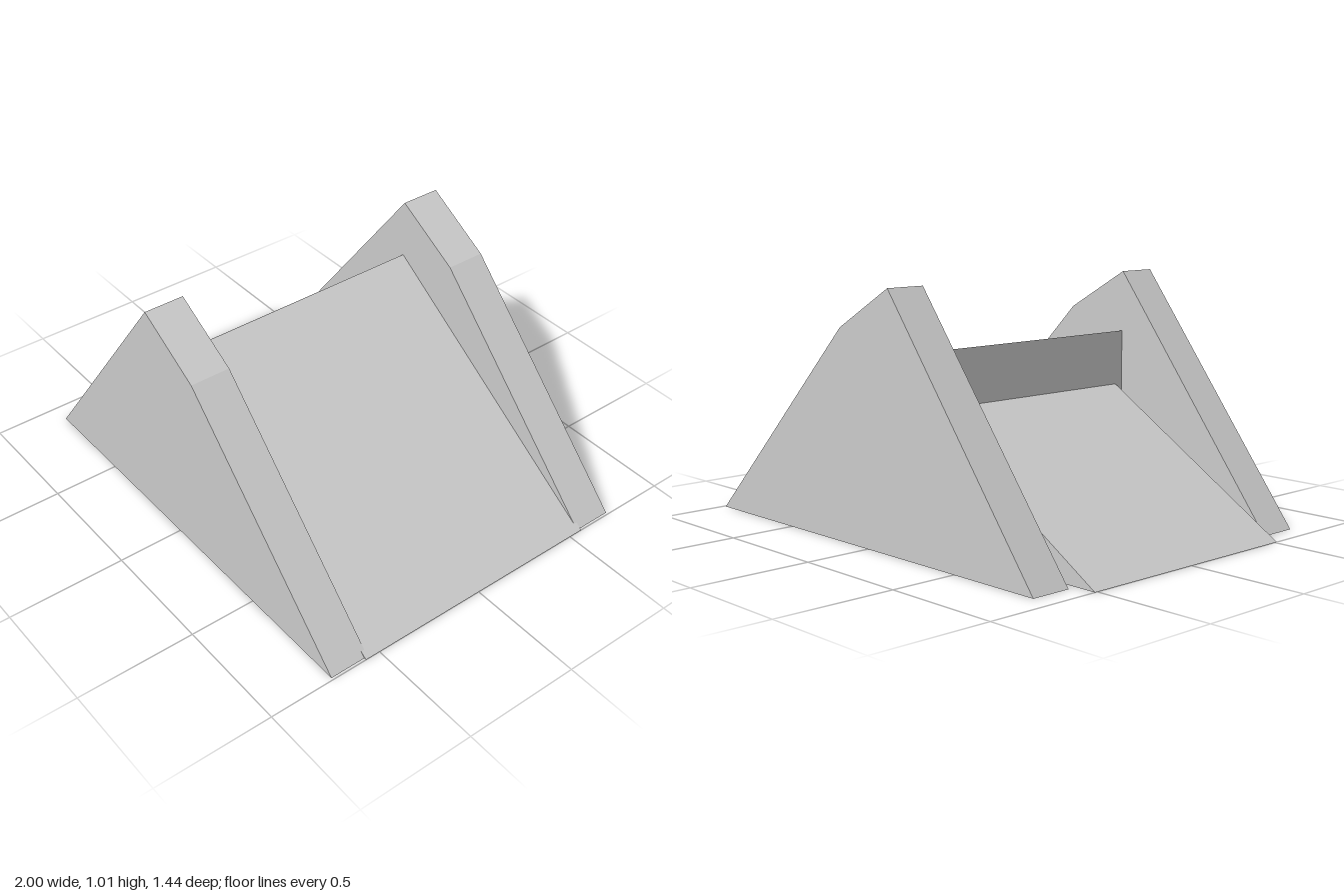
import * as THREE from 'three';

const material = new THREE.MeshStandardMaterial({ color: 0xcccccc, flatShading: true });

// Solid prism: an x/y outline extruded along z from z0 to z1
function prism(name, outline, z0, z1) {
  const shape = new THREE.Shape(outline.map(([x, y]) => new THREE.Vector2(x, y)));
  const geometry = new THREE.ExtrudeGeometry(shape, { depth: z1 - z0, bevelEnabled: false });
  geometry.translate(0, 0, z0);
  const mesh = new THREE.Mesh(geometry, material);
  mesh.name = name;
  return mesh;
}

export function createModel() {
  const group = new THREE.Group();
  group.name = 'rampWithSideWalls';

  // Peaked side walls, one at the front and one at the back
  const wall = [[-0.91, 0], [0.99, 0], [0.155, 0.84], [-0.137, 1.007]];
  group.add(prism('frontWall', wall, 0.55, 0.72));
  group.add(prism('backWall', wall, -0.72, -0.55));

  // Long main ramp, its edges let slightly into the walls
  group.add(prism('mainRamp', [[-0.135, 0], [1, 0], [-0.135, 0.755]], -0.565, 0.565));

  // Narrower, lower ramp rising to the main ramp's upright face
  group.add(prism('lowerRamp', [[-1, 0], [-0.135, 0], [-0.135, 0.53]], -0.512, 0.512));

  return group;
}
